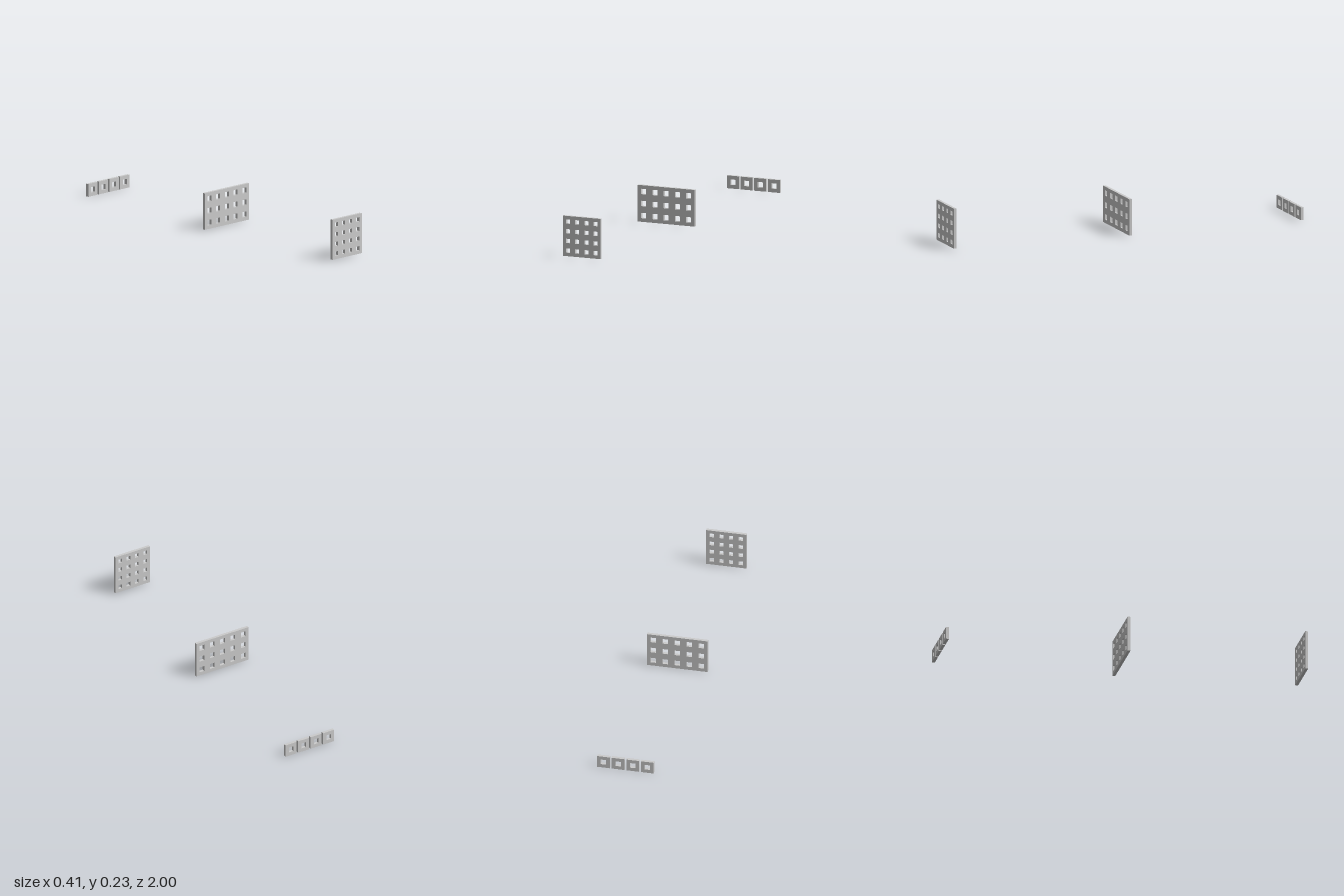
import * as THREE from 'three';

const DEPTH = 0.016;
const material = new THREE.MeshStandardMaterial({ color: 0xcccccc, flatShading: true });

// Add a rectangle to a shape or a hole path, centred on (x, y)
function rectangle(path, x, y, w, h) {
  path.moveTo(x - w / 2, y - h / 2);
  path.lineTo(x + w / 2, y - h / 2);
  path.lineTo(x + w / 2, y + h / 2);
  path.lineTo(x - w / 2, y + h / 2);
  path.closePath();
  return path;
}

// Upright panel pierced by a regular grid of square windows
function windowPanel(name, { width, height, cols, rows, pitch, hole, x, y, z }) {
  const shape = rectangle(new THREE.Shape(), 0, 0, width, height);
  for (let c = 0; c < cols; c++) {
    for (let r = 0; r < rows; r++) {
      const hx = (c - (cols - 1) / 2) * pitch;
      const hy = (r - (rows - 1) / 2) * pitch;
      shape.holes.push(rectangle(new THREE.Path(), hx, hy, hole, hole));
    }
  }
  const geometry = new THREE.ExtrudeGeometry(shape, { depth: DEPTH, bevelEnabled: false });
  geometry.translate(0, 0, -DEPTH / 2);
  const mesh = new THREE.Mesh(geometry, material);
  mesh.name = name;
  mesh.position.set(x, y, z);
  return mesh;
}

export function createModel() {
  const model = new THREE.Group();
  model.name = 'windowPanels';

  // Front panel: 4 x 4 small windows
  model.add(windowPanel('frontPanel', {
    width: 0.223, height: 0.223, cols: 4, rows: 4, pitch: 0.0538, hole: 0.0235,
    x: -0.095, y: 0.117, z: 1 - DEPTH / 2,
  }));

  // Middle panel: 5 x 3 windows
  model.add(windowPanel('middlePanel', {
    width: 0.337, height: 0.203, cols: 5, rows: 3, pitch: 0.0667, hole: 0.03,
    x: -0.031, y: 0.1035, z: 0,
  }));

  // Back row: four separate tiles with one window each
  const tiles = new THREE.Group();
  tiles.name = 'backTiles';
  for (let i = 0; i < 4; i++) {
    tiles.add(windowPanel(`backTile${i + 1}`, {
      width: 0.071, height: 0.071, cols: 1, rows: 1, pitch: 0, hole: 0.03,
      x: 0.171 - (3 - i) * 0.081, y: 0.0355, z: -1 + DEPTH / 2,
    }));
  }
  model.add(tiles);

  return model;
}
